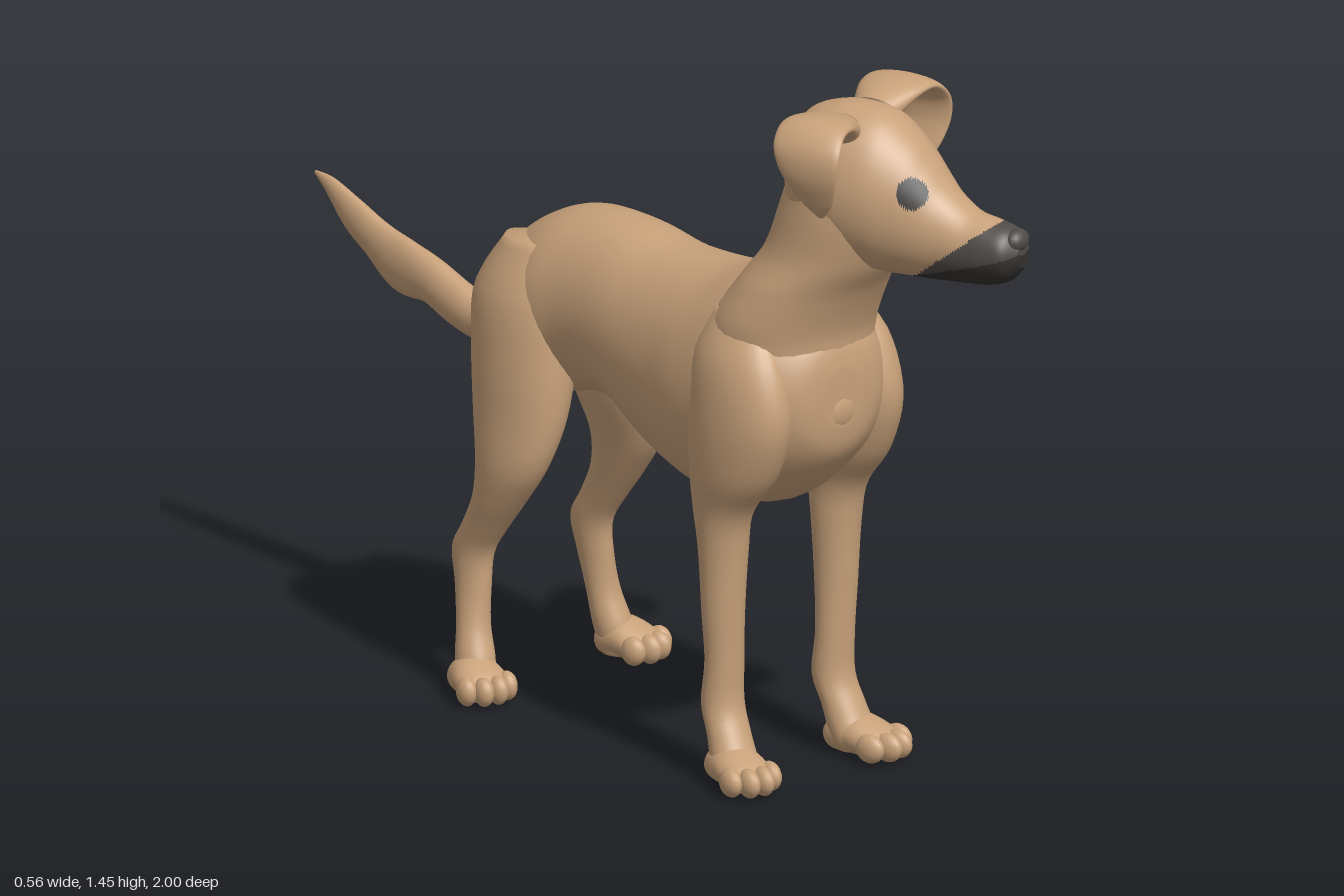
import * as THREE from 'three';

const mat = (name, color) => Object.assign(new THREE.MeshStandardMaterial({ color }), { name });

// Catmull-Rom value through rows of numbers
function sample(rows, t) {
  const f = t * (rows.length - 1), i = Math.min(Math.floor(f), rows.length - 2), u = f - i;
  const a = rows[Math.max(i - 1, 0)], b = rows[i], c = rows[i + 1], d = rows[Math.min(i + 2, rows.length - 1)];
  return b.map((v, k) => v + 0.5 * u * (c[k] - a[k] + u * (2 * a[k] - 5 * v + 4 * c[k] - d[k]
    + u * (3 * (v - c[k]) + d[k] - a[k]))));
}

// Smooth closed loft through elliptical sections [x, y, z, radius along U, radius along V].
// normal fixes the plane of the rings; without it they follow the path.
// paint(x, y, z) picks a material index for each face.
function loft(rows, { normal, U = new THREE.Vector3(1, 0, 0), rings = 48, sides = 32, paint } = {}) {
  const pos = [], groups = [[], [], []];
  for (let i = 0; i <= rings; i++) {
    const s = sample(rows, i / rings);
    const p = sample(rows, Math.max(i / rings - 0.01, 0)), q = sample(rows, Math.min(i / rings + 0.01, 1));
    const N = normal || new THREE.Vector3(q[0] - p[0], q[1] - p[1], q[2] - p[2]).normalize();
    const V = N.clone().cross(U).normalize();
    for (let j = 0; j < sides; j++) {
      const a = j / sides * Math.PI * 2;
      const u = Math.max(s[3], 0.002) * Math.cos(a), v = Math.max(s[4], 0.002) * Math.sin(a);
      pos.push(s[0] + U.x * u + V.x * v, s[1] + U.y * u + V.y * v, s[2] + U.z * u + V.z * v);
    }
  }
  const last = pos.length / 3;
  pos.push(...rows[0].slice(0, 3), ...rows[rows.length - 1].slice(0, 3));
  const face = (...f) => {
    const c = [0, 1, 2].map(k => f.reduce((sum, i) => sum + pos[i * 3 + k], 0) / 3);
    groups[paint ? paint(...c) : 0].push(...f);
  };
  for (let j = 0; j < sides; j++) {
    const k = (j + 1) % sides, end = rings * sides;
    for (let i = 0; i < rings; i++) {
      const r = i * sides, n = r + sides;
      face(r + j, r + k, n + k);
      face(r + j, n + k, n + j);
    }
    face(last, k, j);
    face(last + 1, end + j, end + k);
  }
  const geo = new THREE.BufferGeometry();
  geo.setAttribute('position', new THREE.Float32BufferAttribute(pos, 3));
  geo.setIndex(groups.flat());
  if (paint) {
    let start = 0;
    groups.forEach((g, m) => { geo.addGroup(start, g.length, m); start += g.length; });
  }
  geo.computeVertexNormals();
  return geo;
}

// Rows [z, top, bottom, half width], running back to front
const lengthwise = (rows, opt) => loft(rows.map(([z, t, b, w]) => [0, (t + b) / 2, z, w, (t - b) / 2]),
  { normal: new THREE.Vector3(0, 0, 1), ...opt });
// Rows [y, x, back z, front z, half width], running top to bottom
const upright = (rows, side = 1) => loft(rows.map(([y, x, b, f, w]) => [x * side, y, (b + f) / 2, w, (f - b) / 2]),
  { normal: new THREE.Vector3(0, -1, 0) });

export function createModel() {
  const coat = mat('tanCoat', 0xc8a17a), grey = mat('greyMuzzle', 0x504b47), black = mat('blackMouth', 0x343230);
  const model = new THREE.Group();
  const add = (name, geo, parent = model, material = coat) => {
    const mesh = new THREE.Mesh(geo, material);
    mesh.name = name;
    parent.add(mesh);
    return mesh;
  };

  // Torso with deep chest and tucked belly
  add('torso', lengthwise([
    [-0.37, 0.86, 0.72, 0.04], [-0.34, 0.91, 0.66, 0.10], [-0.28, 0.97, 0.63, 0.14], [-0.18, 1.02, 0.63, 0.165],
    [-0.08, 1.035, 0.655, 0.155], [0.02, 1.033, 0.645, 0.155], [0.12, 1.02, 0.59, 0.165], [0.22, 1.02, 0.555, 0.18],
    [0.32, 1.03, 0.54, 0.20], [0.42, 1.06, 0.55, 0.205], [0.5, 1.06, 0.58, 0.20], [0.57, 1.0, 0.64, 0.17],
    [0.62, 0.94, 0.70, 0.11], [0.635, 0.88, 0.76, 0.05]], { rings: 64, sides: 40 }));
  const breast = add('breastbone', new THREE.SphereGeometry(1, 24, 16));
  breast.scale.set(0.075, 0.07, 0.06);
  breast.position.set(0, 0.79, 0.58);

  // Neck
  add('neck', upright([
    [1.39, 0.035, 0.54, 0.69, 0.08], [1.32, 0.035, 0.505, 0.74, 0.115], [1.22, 0.03, 0.47, 0.745, 0.128],
    [1.12, 0.025, 0.435, 0.715, 0.14], [1.04, 0.012, 0.385, 0.665, 0.165], [0.95, 0, 0.33, 0.63, 0.18],
    [0.85, 0, 0.34, 0.62, 0.16], [0.78, 0, 0.4, 0.56, 0.08]]));

  // Head, turned to its left, with painted eyes and muzzle
  const head = new THREE.Group();
  head.name = 'head';
  head.position.set(0.04, 0, 0.63);
  head.rotation.y = 0.34;
  model.add(head);
  const paint = (x, y, z) => {
    if (Math.hypot(Math.abs(x) - 0.07, y - 1.288, z - 0.168) < 0.033) return 2;
    if (z < 0.15) return 0;
    if (y < 1.11 + (z - 0.165) * 0.32) return 2;
    return y < 1.11 + (z - 0.165) * 0.76 ? 1 : 0;
  };
  add('skullAndMuzzle', lengthwise([
    [-0.14, 1.36, 1.2, 0.05], [-0.1, 1.41, 1.15, 0.105], [-0.04, 1.433, 1.12, 0.127], [0.02, 1.437, 1.10, 0.132],
    [0.08, 1.425, 1.095, 0.124], [0.14, 1.38, 1.095, 0.103], [0.18, 1.335, 1.095, 0.087], [0.22, 1.288, 1.097, 0.074],
    [0.27, 1.252, 1.10, 0.067], [0.32, 1.24, 1.105, 0.064], [0.36, 1.228, 1.12, 0.055], [0.385, 1.2, 1.15, 0.025]],
  { rings: 110, sides: 96, paint }), head, [coat, grey, black]);

  // Nose pad
  const nose = add('nosePad', new THREE.SphereGeometry(1, 20, 14), head, grey);
  nose.scale.set(0.032, 0.024, 0.022);
  nose.position.set(0, 1.205, 0.37);

  for (const side of [1, -1]) {
    const label = side > 0 ? 'left' : 'right';

    // Folded ear: out from the skull, then hanging down
    add(label + 'Ear', loft([
      [0.07, 1.395, 0, 0.05, 0.035], [0.13, 1.425, 0, 0.07, 0.022], [0.185, 1.428, 0.005, 0.075, 0.017],
      [0.222, 1.395, 0.012, 0.076, 0.014], [0.228, 1.345, 0.02, 0.064, 0.012], [0.212, 1.29, 0.028, 0.038, 0.01],
      [0.198, 1.255, 0.032, 0.008, 0.005]].map(([x, ...r]) => [x * side, ...r]),
    { U: new THREE.Vector3(0, 0, 1) }), head);

    // Front leg with shoulder
    add(label + 'FrontLeg', upright([
      [0.99, 0.125, 0.40, 0.52, 0.03], [0.9, 0.138, 0.36, 0.59, 0.07], [0.78, 0.145, 0.355, 0.62, 0.08],
      [0.66, 0.148, 0.36, 0.58, 0.073], [0.57, 0.15, 0.37, 0.51, 0.055], [0.48, 0.148, 0.385, 0.49, 0.05],
      [0.35, 0.148, 0.395, 0.48, 0.045], [0.25, 0.145, 0.40, 0.475, 0.042], [0.16, 0.145, 0.39, 0.475, 0.045],
      [0.1, 0.15, 0.415, 0.5, 0.046], [0.04, 0.155, 0.435, 0.53, 0.048], [0.01, 0.155, 0.45, 0.52, 0.035]], side));

    // Hind leg with thigh and hock
    add(label + 'HindLeg', upright([
      [0.96, 0.09, -0.29, -0.15, 0.04], [0.85, 0.105, -0.352, -0.105, 0.08], [0.72, 0.115, -0.348, -0.092, 0.085],
      [0.6, 0.13, -0.33, -0.097, 0.075], [0.5, 0.15, -0.305, -0.125, 0.06], [0.42, 0.155, -0.31, -0.18, 0.048],
      [0.35, 0.155, -0.345, -0.235, 0.039], [0.29, 0.155, -0.38, -0.275, 0.035], [0.22, 0.16, -0.365, -0.28, 0.033],
      [0.14, 0.17, -0.345, -0.275, 0.035], [0.07, 0.18, -0.335, -0.25, 0.04], [0.01, 0.187, -0.32, -0.24, 0.035]], side));

    // Paws with four toes, pointing slightly outward
    for (const [name, x, z, turn, length] of [['FrontPaw', 0.158, 0.47, 0.2, 1], ['HindPaw', 0.192, -0.29, 0.25, 0.82]]) {
      const paw = new THREE.Group();
      paw.name = label + name;
      paw.position.set(x * side, 0, z);
      paw.rotation.y = turn * side;
      paw.scale.z = length;
      model.add(paw);
      add('pad', lengthwise([[-0.055, 0.05, 0.015, 0.02], [-0.03, 0.075, 0, 0.043], [0.02, 0.085, 0, 0.053],
        [0.07, 0.07, 0, 0.056], [0.1, 0.055, 0.005, 0.048], [0.115, 0.04, 0.015, 0.03]], { rings: 20, sides: 24 }), paw);
      for (const [tx, tz] of [[-0.045, 0.085], [-0.016, 0.108], [0.016, 0.108], [0.045, 0.085]]) {
        const toe = add('toe', new THREE.SphereGeometry(1, 16, 12), paw);
        toe.scale.set(0.02, 0.03, 0.034);
        toe.position.set(tx, 0.032, tz);
      }
    }
  }

  // Tail: drops from the rump, then sweeps back and up
  add('tail', loft([
    [0, 0.87, -0.325, 0.035, 0.04], [0, 0.81, -0.377, 0.036, 0.04], [0, 0.735, -0.415, 0.038, 0.042],
    [0, 0.7, -0.475, 0.038, 0.044], [0, 0.715, -0.555, 0.036, 0.049], [0, 0.742, -0.64, 0.033, 0.05],
    [0, 0.752, -0.73, 0.029, 0.06], [0, 0.785, -0.81, 0.025, 0.045], [0, 0.818, -0.88, 0.02, 0.038],
    [0, 0.86, -0.95, 0.012, 0.02], [0, 0.878, -1, 0.003, 0.004]], { rings: 64 }));

  return model;
}
